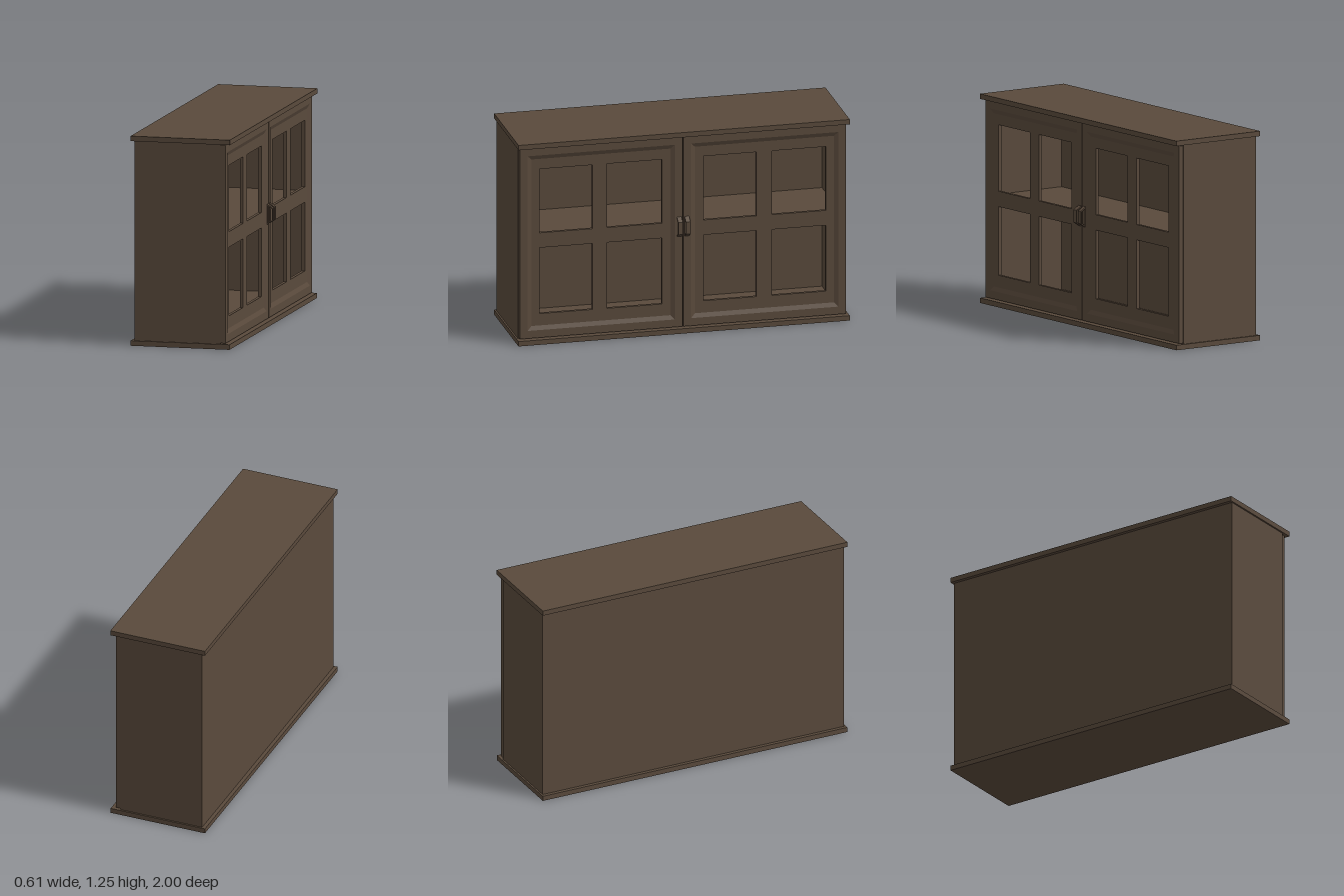
import * as THREE from 'three';

const wood = new THREE.MeshStandardMaterial({ color: 0x5a4a3c });

// Box given by its extents along each axis
function box(name, [x0, x1], [y0, y1], [z0, z1]) {
  const mesh = new THREE.Mesh(new THREE.BoxGeometry(x1 - x0, y1 - y0, z1 - z0), wood);
  mesh.position.set((x0 + x1) / 2, (y0 + y1) / 2, (z0 + z1) / 2);
  mesh.name = name;
  return mesh;
}

// Rectangle path
function rect(target, u0, u1, v0, v1) {
  target.moveTo(u0, v0);
  target.lineTo(u1, v0);
  target.lineTo(u1, v1);
  target.lineTo(u0, v1);
  target.closePath();
  return target;
}

// Sloped picture frame: rectangles joined in loops, each step is [inset, height]
function steppedFrame(u0, u1, v0, v1, steps) {
  const loops = steps.map(([i, h]) => [
    [u0 + i, v0 + i, h], [u1 - i, v0 + i, h], [u1 - i, v1 - i, h], [u0 + i, v1 - i, h],
  ]);
  const positions = [];
  for (let s = 0; s < loops.length - 1; s++) {
    for (let k = 0; k < 4; k++) {
      const n = (k + 1) % 4;
      const a = loops[s][k], b = loops[s][n], c = loops[s + 1][n], d = loops[s + 1][k];
      positions.push(...a, ...b, ...c, ...a, ...c, ...d);
    }
  }
  const geometry = new THREE.BufferGeometry();
  geometry.setAttribute('position', new THREE.Float32BufferAttribute(positions, 3));
  geometry.computeVertexNormals();
  return geometry;
}

const DOOR_BACK = 0.237, PANEL_FRONT = 0.257, DOOR_FRONT = 0.268;

// Door with four open panes; u runs along -z, v is height
function makeDoor(name, side) {
  const door = new THREE.Group();
  door.name = name;
  const [u0, u1] = side < 0 ? [-0.985, -0.002] : [0.002, 0.985];
  const [v0, v1] = [0.035, 1.21];

  const shape = rect(new THREE.Shape(), u0, u1, v0, v1);
  const columns = side < 0 ? [[-0.865, -0.545], [-0.455, -0.125]] : [[0.125, 0.445], [0.54, 0.865]];
  for (const [a, b] of columns) {
    for (const [c, d] of [[0.18, 0.588], [0.68, 1.075]]) {
      shape.holes.push(rect(new THREE.Path(), a, b, c, d));
    }
  }
  const panelGeometry = new THREE.ExtrudeGeometry(shape, { depth: PANEL_FRONT - DOOR_BACK, bevelEnabled: false });
  panelGeometry.rotateY(Math.PI / 2);
  panelGeometry.translate(DOOR_BACK, 0, 0);
  const panel = new THREE.Mesh(panelGeometry, wood);
  panel.name = 'panePanel';

  const frameGeometry = steppedFrame(u0, u1, v0, v1, [
    [0, PANEL_FRONT], [0, DOOR_FRONT], [0.047, DOOR_FRONT], [0.072, PANEL_FRONT],
  ]);
  frameGeometry.rotateY(Math.PI / 2);
  const frame = new THREE.Mesh(frameGeometry, wood);
  frame.name = 'doorFrame';

  door.add(panel, frame, makeHandle(side));
  return door;
}

// Bent strap handle: trapezoid ring swept along z
function makeHandle(side) {
  const width = 0.027;
  const shape = new THREE.Shape([
    [0.267, 0.593], [0.303, 0.616], [0.303, 0.692], [0.267, 0.716],
  ].map(([x, y]) => new THREE.Vector2(x, y)));
  shape.holes.push(new THREE.Path([
    [0.272, 0.604], [0.272, 0.705], [0.297, 0.688], [0.297, 0.620],
  ].map(([x, y]) => new THREE.Vector2(x, y))));
  const geometry = new THREE.ExtrudeGeometry(shape, { depth: width, bevelEnabled: false });
  geometry.translate(0, 0, -side * 0.023 - width / 2);
  const handle = new THREE.Mesh(geometry, wood);
  handle.name = 'handle';
  return handle;
}

export function createModel() {
  const model = new THREE.Group();
  model.name = 'cabinet';

  // Carcass
  const bodyX = [-0.283, 0.237], bodyY = [0.03, 1.215];
  model.add(
    box('topSlab', [-0.305, 0.297], [1.215, 1.245], [-1, 1]),
    box('baseSlab', [-0.305, 0.295], [0, 0.03], [-1, 1]),
    box('leftSide', bodyX, bodyY, [0.97, 0.99]),
    box('rightSide', bodyX, bodyY, [-0.99, -0.97]),
    box('backPanel', [-0.283, -0.268], bodyY, [-0.97, 0.97]),
    box('shelf', [-0.268, 0.215], [0.615, 0.64], [-0.97, 0.97]),
  );

  // Doors
  model.add(makeDoor('leftDoor', -1), makeDoor('rightDoor', 1));
  return model;
}
